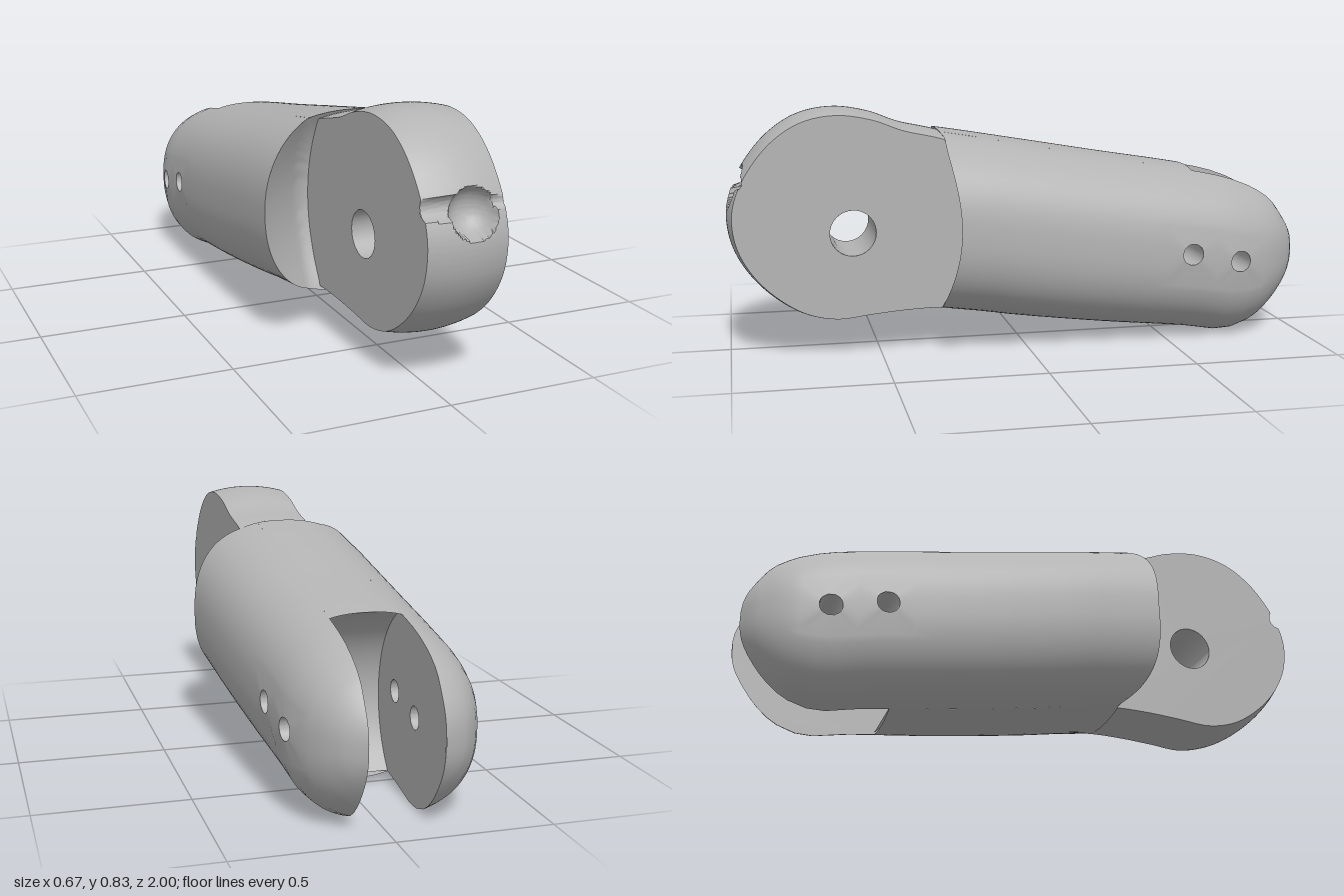
import * as THREE from 'three';
import { toCreasedNormals } from 'three/addons/utils/BufferGeometryUtils.js';

const V = (x, y, z) => new THREE.Vector3(x, y, z);
const N = 2.4; // superellipse exponent of the body section

// Body section by z: [z, top, bottom, xMin, xMax]
const SECTIONS = [
  [-1, 0.385, 0.185, -0.149, 0.087], [-0.97, 0.42, 0.145, -0.215, 0.14], [-0.92, 0.485, 0.08, -0.268, 0.19],
  [-0.85, 0.53, 0.02, -0.308, 0.233], [-0.75, 0.567, -0.013, -0.33, 0.263], [-0.6, 0.598, 0.008, -0.333, 0.277],
  [-0.3, 0.648, 0.042, -0.338, 0.297], [0, 0.7, 0.083, -0.34, 0.317], [0.3, 0.75, 0.13, -0.34, 0.335],
  [0.42, 0.765, 0.135, -0.337, 0.338],
];
const spline = new THREE.CubicInterpolant(SECTIONS.map(s => s[0]), SECTIONS.flatMap(s => s.slice(1)), 4, new Float32Array(4));
function section(z) {
  const [t, b, l, r] = spline.evaluate(z);
  return { cx: (l + r) / 2, cy: (t + b) / 2, w: (r - l) / 2, h: (t - b) / 2 };
}
const pow = (v, e) => Math.sign(v) * Math.abs(v) ** e;
function bodyPoint(z, a) {
  const s = section(z);
  return V(s.cx + s.w * pow(Math.cos(a), 2 / N), s.cy + s.h * pow(Math.sin(a), 2 / N), z);
}
const arch = v => Math.max(0, 1 - Math.abs(v) ** N) ** (1 / N);
function bodyY(z, x, sign) {
  const s = section(z);
  return s.cy + sign * s.h * arch((x - s.cx) / s.w);
}
function bodyX(z, y, side) {
  const s = section(z);
  return s.cx + side * s.w * arch((y - s.cy) / s.h);
}
// Concave shoulder face around the tongue
function shoulderZ(x, y) {
  const out = Math.max(0, Math.abs(x) - 0.15) / 0.18;
  return 0.29 - 0.1 * (1 - Math.min(1, ((y - 0.45) / 0.3) ** 2)) + out * (x > 0 ? 0.06 : 0.17);
}

// Surface through rows of points; skip(i, j) leaves cells open
function surface(rows, flip = false, skip = () => false, extra = []) {
  const pos = [], idx = [], n = rows[0].length;
  const put = p => pos.push(p.x, p.y, p.z) / 3 - 1;
  const quad = (a, b, c, d) => flip ? idx.push(a, c, b, b, c, d) : idx.push(a, b, c, b, d, c);
  rows.forEach(r => r.forEach(put));
  for (let i = 0; i < rows.length - 1; i++)
    for (let j = 0; j < n - 1; j++)
      if (!skip(i, j)) quad(i * n + j, i * n + j + 1, (i + 1) * n + j, (i + 1) * n + j + 1);
  // Loops that join an opening's border to a round hole
  for (const { border, ring } of extra) {
    const b = border.map(([i, j]) => i * n + j), r = ring.map(put);
    b.forEach((_, k) => { const m = (k + 1) % b.length; quad(b[k], b[m], r[k], r[m]); });
  }
  const g = new THREE.BufferGeometry();
  g.setAttribute('position', new THREE.Float32BufferAttribute(pos, 3));
  g.setIndex(idx);
  g.computeVertexNormals();
  return g;
}
// Side plate from an outline in (z, y), placed at x = xAt(z)
function plate(points, holes, xAt, flip) {
  const shape = new THREE.Shape(points.map(p => new THREE.Vector2(p.z, p.y)));
  for (const [z, y, r] of holes) shape.holes.push(new THREE.Path().absarc(z, y, r, 0, Math.PI * 2, true));
  const g = new THREE.ShapeGeometry(shape, 24), p = g.attributes.position;
  for (let i = 0; i < p.count; i++) p.setXYZ(i, xAt(p.getX(i)), p.getY(i), p.getX(i));
  if (flip) {
    const a = g.index.array;
    for (let i = 0; i < a.length; i += 3) [a[i], a[i + 1]] = [a[i + 1], a[i]];
  }
  g.computeVertexNormals();
  return g;
}
// Bore wall between two x functions
function bore([z, y, r], x0, x1) {
  const rows = [x0, x1].map(f => Array.from({ length: 33 }, (_, k) => {
    const a = k / 32 * Math.PI * 2, pz = z + r * Math.cos(a), py = y + r * Math.sin(a);
    return V(f(pz, py), py, pz);
  }));
  return surface(rows);
}

export function createModel() {
  const group = new THREE.Group();
  const grey = new THREE.MeshStandardMaterial({ color: 0xb4b4b4, side: THREE.DoubleSide });
  grey.name = 'light grey';
  const add = (name, geo) => {
    const m = new THREE.Mesh(geo, grey);
    m.name = name;
    group.add(m);
  };
  const WALL = { '-1': -0.148, 1: 0.086 }; // inner faces of the fork
  const PINS = [[-0.56, 0.32, 0.037], [-0.74, 0.285, 0.037]];
  const Z = [0.15, 0.05, -0.05, -0.15, -0.25, -0.35, -0.41, -0.47, -0.53, -0.59, -0.65, -0.71, -0.77, -0.83,
    -0.865, -0.9, -0.925, -0.95, -0.965, -0.98, -0.99, -0.996, -1];
  const K = 36, MID = K / 2;

  // Outer shells with fork prongs, pin holes and inner walls
  for (const side of [-1, 1]) {
    const name = side > 0 ? 'left' : 'right', wall = WALL[side];
    const at = (z, k) => {
      const s = section(z), d = Math.min(1, side * (wall - s.cx) / s.w);
      const a = Math.acos(d ** (N / 2)) * (1 - 2 * k / K);
      return bodyPoint(z, side > 0 ? a : Math.PI - a);
    };
    const row = z => Array.from({ length: K + 1 }, (_, k) => at(z, k));
    const rim = row(0.3).map((p, k) => at(shoulderZ(p.x, p.y), k));
    const rows = [rim, ...Z.map(row)];
    const blocks = PINS.map(([z, y, r], b) => {
      const i0 = Z.indexOf(b ? -0.65 : -0.47) + 1, i1 = i0 + 3, j0 = MID - 4, j1 = MID + 4, border = [];
      for (let j = j0; j < j1; j++) border.push([i0, j]);
      for (let i = i0; i < i1; i++) border.push([i, j1]);
      for (let j = j1; j > j0; j--) border.push([i1, j]);
      for (let i = i1; i > i0; i--) border.push([i, j0]);
      const ring = border.map(([i, j]) => {
        const p = rows[i][j], a = Math.atan2(p.y - y, p.z - z);
        const pz = z + r * Math.cos(a), py = y + r * Math.sin(a);
        return V(bodyX(pz, py, side), py, pz);
      });
      return { i0, i1, j0, j1, border, ring };
    });
    const skip = (i, j) => blocks.some(b => i >= b.i0 && i < b.i1 && j >= b.j0 && j < b.j1);
    add(name + 'Shell', surface(rows, side > 0, skip, blocks));
    const back = rows.filter((_, i) => i > 5);
    const outline = [...back.map(r => r[0]), ...back.slice(0, -1).map(r => r[K]).reverse()];
    add(name + 'ForkWall', plate(outline, PINS, () => wall, side < 0));
    PINS.forEach(p => add(name + 'PinHole', bore(p, () => wall, (z, y) => bodyX(z, y, side))));
  }

  // Middle strips above and below, ending at the fork slot
  const xs = Array.from({ length: 13 }, (_, i) => THREE.MathUtils.lerp(WALL[-1], WALL[1], i / 12));
  for (const [name, sign, end] of [['topStrip', 1, -0.615], ['bottomStrip', -1, -0.506]]) {
    const rows = Array.from({ length: 25 }, (_, i) => xs.map(x => {
      const z = THREE.MathUtils.lerp(shoulderZ(x, bodyY(0.3, x, sign)), end, i / 24);
      return V(x, bodyY(z, x, sign), z);
    }));
    add(name, surface(rows, sign > 0));
  }

  // Concave slot floor
  const floor = Array.from({ length: 33 }, (_, i) => {
    const a = THREE.MathUtils.degToRad(THREE.MathUtils.lerp(67, -45, i / 32));
    const z = -0.75 + 0.345 * Math.cos(a), y = 0.28 + 0.345 * Math.sin(a);
    return xs.map(x => V(x, THREE.MathUtils.clamp(y, bodyY(z, x, -1), bodyY(z, x, 1)), z));
  });
  add('slotFloor', surface(floor, true));

  // Shoulder face at the front of the body
  const cap = Array.from({ length: 11 }, (_, i) => Array.from({ length: 97 }, (_, k) => {
    const a = k / 96 * Math.PI * 2, s = 1 - i * 0.09, q = bodyPoint(0.3, a);
    const p = bodyPoint(shoulderZ(q.x, q.y), a), c = section(p.z);
    if (i) {
      p.x = c.cx + (p.x - c.cx) * s;
      p.y = c.cy + (p.y - c.cy) * s;
      p.z = shoulderZ(p.x, p.y);
    }
    return p;
  }));
  add('shoulderFace', surface(cap));

  // Hinge tongue: crowned rim with a ball socket and cord groove
  const profile = [[0.15, 0.7], [0.3, 0.747], [0.42, 0.775], [0.52, 0.812], [0.64, 0.83], [0.76, 0.808], [0.86, 0.745],
    [0.94, 0.65], [0.985, 0.56], [1, 0.48], [0.985, 0.38], [0.935, 0.285], [0.86, 0.205], [0.76, 0.14], [0.65, 0.113],
    [0.53, 0.122], [0.42, 0.13], [0.3, 0.132], [0.15, 0.12]];
  const edge = new THREE.CatmullRomCurve3(profile.map(([z, y]) => V(0, y, z))).getSpacedPoints(320);
  const lean = z => 0.043 * (z - 0.65), X0 = -0.095, X1 = 0.17, COLS = 44;
  const carve = p => {
    if (p.z < 0.85) return;
    const cut = (d2, r, z) => { if (d2 < r * r) p.z = Math.min(p.z, z - Math.sqrt(r * r - d2)); };
    cut((p.x - 0.075) ** 2 + (p.y - 0.575) ** 2, 0.078, 0.975);
    if (p.x < 0.075) cut((p.y - 0.598) ** 2, 0.035, 0.965);
    else cut((p.y - 0.598) ** 2, 0.03 - 0.1 * (p.x - 0.075), 0.965);
  };
  const tongue = edge.map(e => Array.from({ length: COLS + 1 }, (_, i) => {
    const t = i / COLS, c = 0.018 * (2 * t - 1) ** 2;
    const dir = V(0, e.y - 0.47, Math.max(0, e.z - 0.62)).normalize();
    const p = e.clone().addScaledVector(dir, -c);
    p.x = THREE.MathUtils.lerp(X0, X1, t) + lean(p.z);
    carve(p);
    return p;
  }));
  add('tongueRim', toCreasedNormals(surface(tongue, true), 0.6));
  const pivot = [0.59, 0.42, 0.077];
  add('tongueRightFace', plate(tongue.map(r => r[0]), [pivot], z => X0 + lean(z), false));
  add('tongueLeftFace', plate(tongue.map(r => r[COLS]), [pivot], z => X1 + lean(z), true));
  add('pivotHole', bore(pivot, z => X0 + lean(z), z => X1 + lean(z)));
  return group;
}
